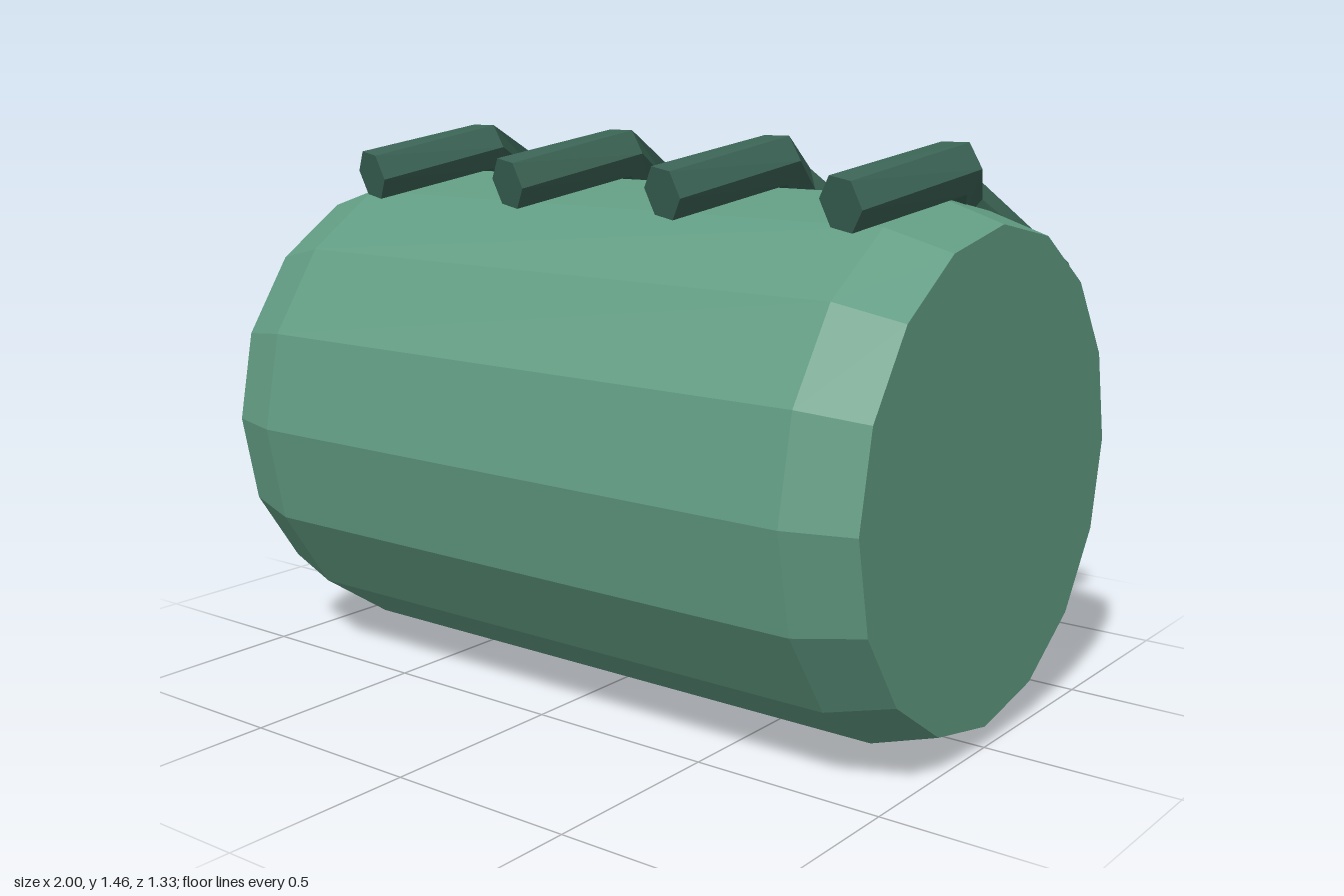
import * as THREE from 'three';

const RADIUS = 0.667;
const drumMaterial = new THREE.MeshStandardMaterial({ color: 0x619b82, flatShading: true });
const barMaterial = new THREE.MeshStandardMaterial({ color: 0x3a6354, flatShading: true });

// Hexagonal bar swept along a bent path, flat side kept facing away from the drum axis
function bentBar(path, radius) {
  const sides = 6, positions = [], index = [];
  path.forEach((p, i) => {
    const before = path[Math.max(i - 1, 0)], after = path[Math.min(i + 1, path.length - 1)];
    const tangent = p.clone().sub(before).normalize().add(after.clone().sub(p).normalize()).normalize();
    const up = new THREE.Vector3(0, p.y - RADIUS, p.z).projectOnPlane(tangent).normalize();
    const side = new THREE.Vector3().crossVectors(up, tangent);
    for (let k = 0; k < sides; k++) {
      const a = (k / sides) * Math.PI * 2;
      const v = p.clone().addScaledVector(side, Math.cos(a) * radius).addScaledVector(up, Math.sin(a) * radius);
      positions.push(v.x, v.y, v.z);
    }
  });
  // Walls between neighbouring rings
  for (let i = 0; i < path.length - 1; i++) {
    for (let k = 0; k < sides; k++) {
      const a = i * sides + k, b = i * sides + (k + 1) % sides;
      index.push(a, b, b + sides, a, b + sides, a + sides);
    }
  }
  // End caps
  const last = (path.length - 1) * sides;
  for (let k = 1; k < sides - 1; k++) {
    index.push(0, k + 1, k, last, last + k, last + k + 1);
  }
  const geometry = new THREE.BufferGeometry();
  geometry.setAttribute('position', new THREE.Float32BufferAttribute(positions, 3));
  geometry.setIndex(index);
  const flat = geometry.toNonIndexed();
  flat.computeVertexNormals();
  return flat;
}

export function createModel() {
  const model = new THREE.Group();
  model.name = 'ridgedDrum';

  // Sixteen-sided drum lying along x, with chamfered ends
  const profile = [[0, -1], [0.613, -1], [RADIUS, -0.83], [RADIUS, 0.83], [0.613, 1], [0, 1]]
    .map(([r, y]) => new THREE.Vector2(r, y));
  const drum = new THREE.Mesh(new THREE.LatheGeometry(profile, 16), drumMaterial);
  drum.name = 'drum';
  drum.rotation.z = -Math.PI / 2;
  drum.position.y = RADIUS;
  model.add(drum);

  // Four zigzag bars laid over the top, front to back
  const path = [[0.02, 1.337, 0.345], [0.115, 1.403, 0], [-0.055, 1.304, -0.337], [0.09, 1.065, -0.61]]
    .map((p) => new THREE.Vector3(...p));
  const barGeometry = bentBar(path, 0.07);
  for (let i = 0; i < 4; i++) {
    const bar = new THREE.Mesh(barGeometry, barMaterial);
    bar.name = `zigzagBar${i + 1}`;
    bar.position.x = -0.752 + i * 0.501;
    model.add(bar);
  }
  return model;
}
